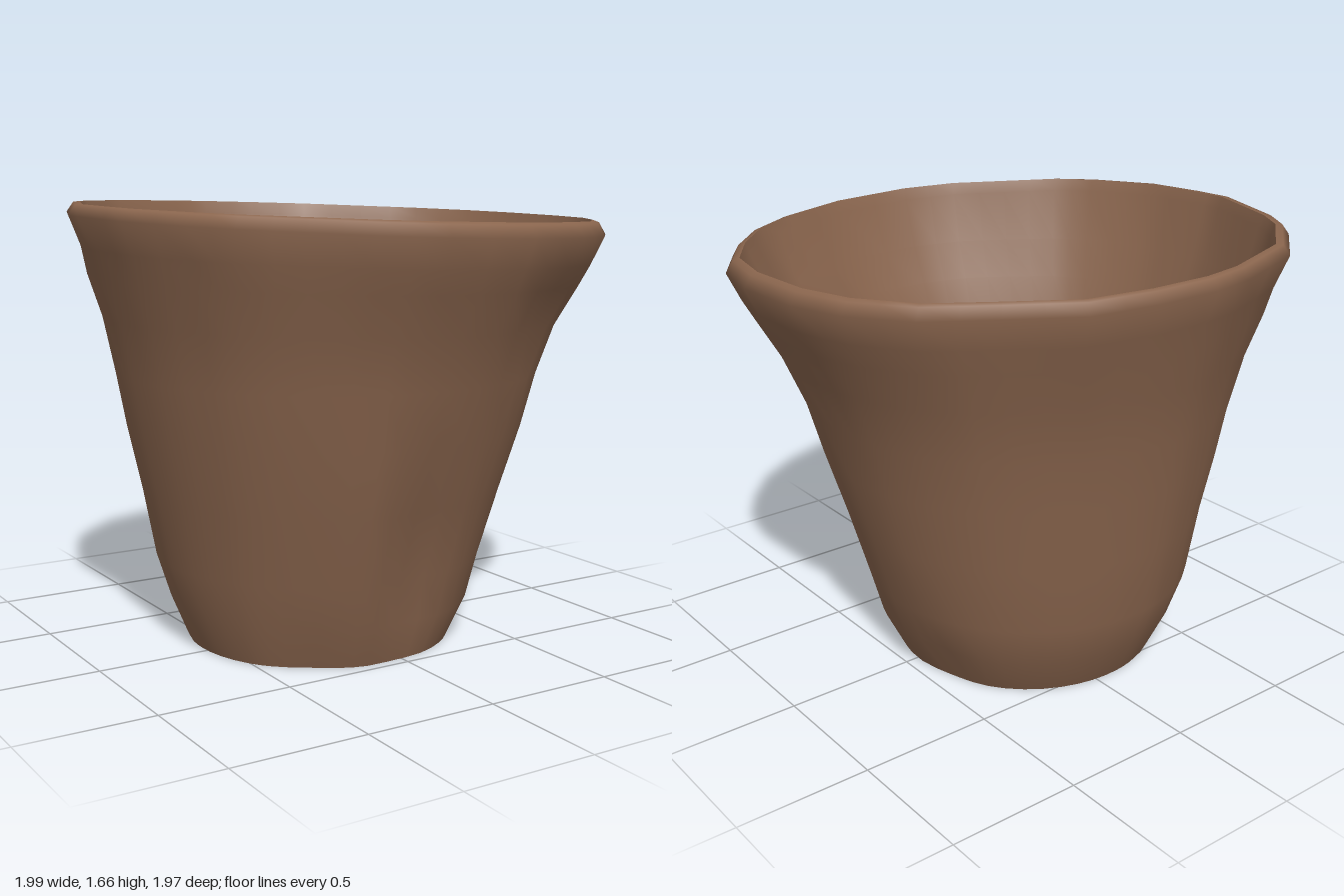
import * as THREE from 'three';

// Irregular rim outline seen from above, as x, z pairs
const RIM = [
  [-0.08, -0.99], [0.15, -0.97], [0.39, -0.91], [0.6, -0.74], [0.8, -0.57], [0.93, -0.35], [0.985, -0.13],
  [0.99, 0.17], [0.94, 0.4], [0.81, 0.6], [0.65, 0.77], [0.45, 0.89], [0.16, 0.98], [-0.18, 0.98], [-0.4, 0.91],
  [-0.585, 0.775], [-0.77, 0.64], [-0.87, 0.5], [-0.98, 0.24], [-1, 0], [-1, -0.17], [-0.87, -0.52],
  [-0.79, -0.65], [-0.56, -0.86], [-0.24, -0.97],
];

// Cross-sections: height, centre x, centre z, radius, share of rim outline, tilt
const UNDERSIDE = [
  [0.07, -0.19, 0.02, 0.025, 0, 0],
  [0.05, -0.1, -0.02, 0.25, 0, 0],
  [0.015, -0.06, -0.04, 0.44, 0, 0],
  [0.015, -0.06, -0.04, 0.51, 0, 0],
];
const OUTER = [
  [0.015, -0.06, -0.04, 0.51, 0, 0],
  [0.17, -0.05, -0.05, 0.58, 0, 0],
  [0.34, -0.05, -0.06, 0.63, 0, 0],
  [0.6, -0.045, -0.04, 0.69, 0.1, 0],
  [0.85, -0.04, -0.025, 0.755, 0.2, 0],
  [1.05, -0.035, -0.015, 0.8, 0.3, 0],
  [1.25, -0.02, -0.01, 0.86, 0.5, 0.3],
  [1.4, -0.01, 0, 0.925, 0.7, 0.5],
  [1.49, 0, 0, 0.955, 0.9, 0.8],
  [1.6, 0, 0, 1, 1, 1],
  [1.64, 0, 0, 0.975, 1, 0.9],
  [1.645, 0, 0, 0.95, 1, 0.8],
];
const INNER = [
  [1.645, 0, 0, 0.95, 1, 0.8],
  [1.6, 0, 0, 0.935, 1, 0.8],
  [1.4, -0.01, 0, 0.88, 0.7, 0.5],
  [1.25, -0.02, -0.01, 0.82, 0.5, 0.3],
  [1.05, -0.035, -0.015, 0.76, 0.3, 0],
  [0.85, -0.04, -0.025, 0.71, 0.2, 0],
  [0.6, -0.045, -0.04, 0.645, 0.1, 0],
  [0.34, -0.05, -0.05, 0.58, 0, 0],
  [0.2, -0.04, -0.04, 0.5, 0, 0],
  [0.13, -0.03, -0.02, 0.4, 0, 0],
  [0.1, -0.1, 0, 0.2, 0, 0],
  [0.07, -0.19, 0.02, 0.025, 0, 0],
];

// Dents: angle from the front towards +x, height, angular width, height spread, depth
const DENTS = [
  [0.06, 0.42, 0.16, 0.32, 0.055],
  [-0.3, 0.55, 0.2, 0.35, -0.02],
  [0.45, 1.3, 0.11, 0.16, 0.045],
  [0.84, 1.3, 0.11, 0.16, 0.04],
  [1.85, 0.12, 0.25, 0.12, 0.03],
  [-0.6, 0.08, 0.25, 0.1, 0.025],
];

function dentDepth(angle, y) {
  let depth = 0;
  for (const [a, h, wa, wh, d] of DENTS) {
    const da = Math.atan2(Math.sin(angle - a), Math.cos(angle - a)) / wa;
    depth += d * Math.exp(-da * da - ((y - h) / wh) ** 2);
  }
  return depth;
}

// Outline with a midpoint added on each edge
const outline = RIM.flatMap(([x, z], i) => {
  const [nx, nz] = RIM[(i + 1) % RIM.length];
  return [[x, z], [(x + nx) / 2, (z + nz) / 2]];
});

// Skin a list of cross-sections into one smooth surface
function skin(rings) {
  const n = outline.length, pos = [], index = [];
  for (const [y, cx, cz, r, w, tilt] of rings) {
    for (const [x, z] of outline) {
      const len = Math.hypot(x, z);
      let radius = r * (1 + (len - 1) * w);
      if (r > 0.48) radius -= dentDepth(Math.atan2(x, z), y);
      pos.push(cx + x / len * radius, y - tilt * (0.028 * x + 0.032 * z), cz + z / len * radius);
    }
  }
  for (let i = 0; i < rings.length - 1; i++) {
    for (let j = 0; j < n; j++) {
      const a = i * n + j, b = i * n + (j + 1) % n;
      index.push(a, a + n, b + n, a, b + n, b);
    }
  }
  const geo = new THREE.BufferGeometry();
  geo.setAttribute('position', new THREE.Float32BufferAttribute(pos, 3));
  geo.setIndex(index);
  geo.computeVertexNormals();
  return geo;
}

export function createModel() {
  const clay = new THREE.MeshStandardMaterial({ color: 0x8b664e });
  clay.name = 'brown clay';
  const pot = new THREE.Group();
  pot.name = 'flowerPot';
  const add = (name, rings) => {
    const mesh = new THREE.Mesh(skin(rings), clay);
    mesh.name = name;
    pot.add(mesh);
  };
  // Recessed base with a small drain hole
  add('underside', UNDERSIDE);
  // Tapered wall flaring into the rolled rim
  add('outerWallAndRim', OUTER);
  // Hollow inside down to the floor and drain hole
  add('innerWallAndFloor', INNER);
  return pot;
}
